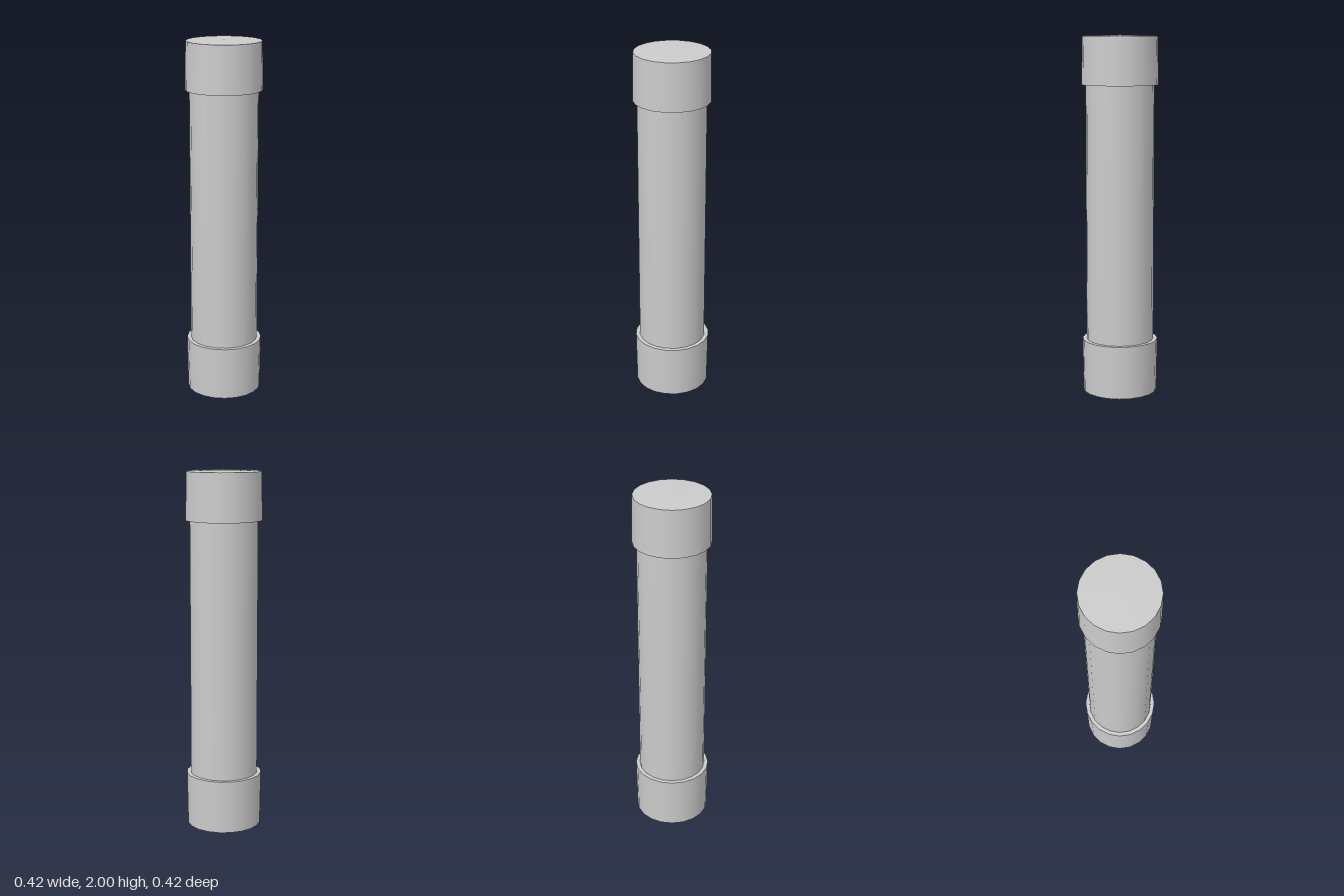
import * as THREE from 'three';

const SIDES = 20;

export function createModel() {
  const model = new THREE.Group();
  model.name = 'cappedTube';
  const material = new THREE.MeshStandardMaterial({ color: 0xcccccc });

  const add = (parent, name, geometry, y) => {
    const mesh = new THREE.Mesh(geometry, material);
    mesh.name = name;
    mesh.position.y = y;
    parent.add(mesh);
  };

  // Slightly tapered cap, narrow at its outer end, closed by a very shallow dome
  const makeCap = (name, height, dome) => {
    const cap = new THREE.Group();
    cap.name = name;
    const outer = 0.206, inner = 0.211, wall = height - dome;
    add(cap, name + 'Wall', new THREE.CylinderGeometry(outer, inner, wall, SIDES, 1, true), wall / 2);
    add(cap, name + 'End', new THREE.ConeGeometry(outer, dome, SIDES, 1, true), wall + dome / 2);
    // Flat rim around the tube
    const rim = new THREE.RingGeometry(0.18, inner, SIDES, 1).rotateX(Math.PI / 2);
    add(cap, name + 'Rim', rim, 0);
    model.add(cap);
    return cap;
  };

  // Main tube, its ends hidden inside the caps
  add(model, 'tube', new THREE.CylinderGeometry(0.188, 0.188, 1.46, SIDES, 1, true), 1.02);

  makeCap('topCap', 0.27, 0.006).position.y = 1.73;

  const bottomCap = makeCap('bottomCap', 0.305, 0.008);
  bottomCap.rotation.x = Math.PI;
  bottomCap.position.y = 0.305;

  return model;
}
